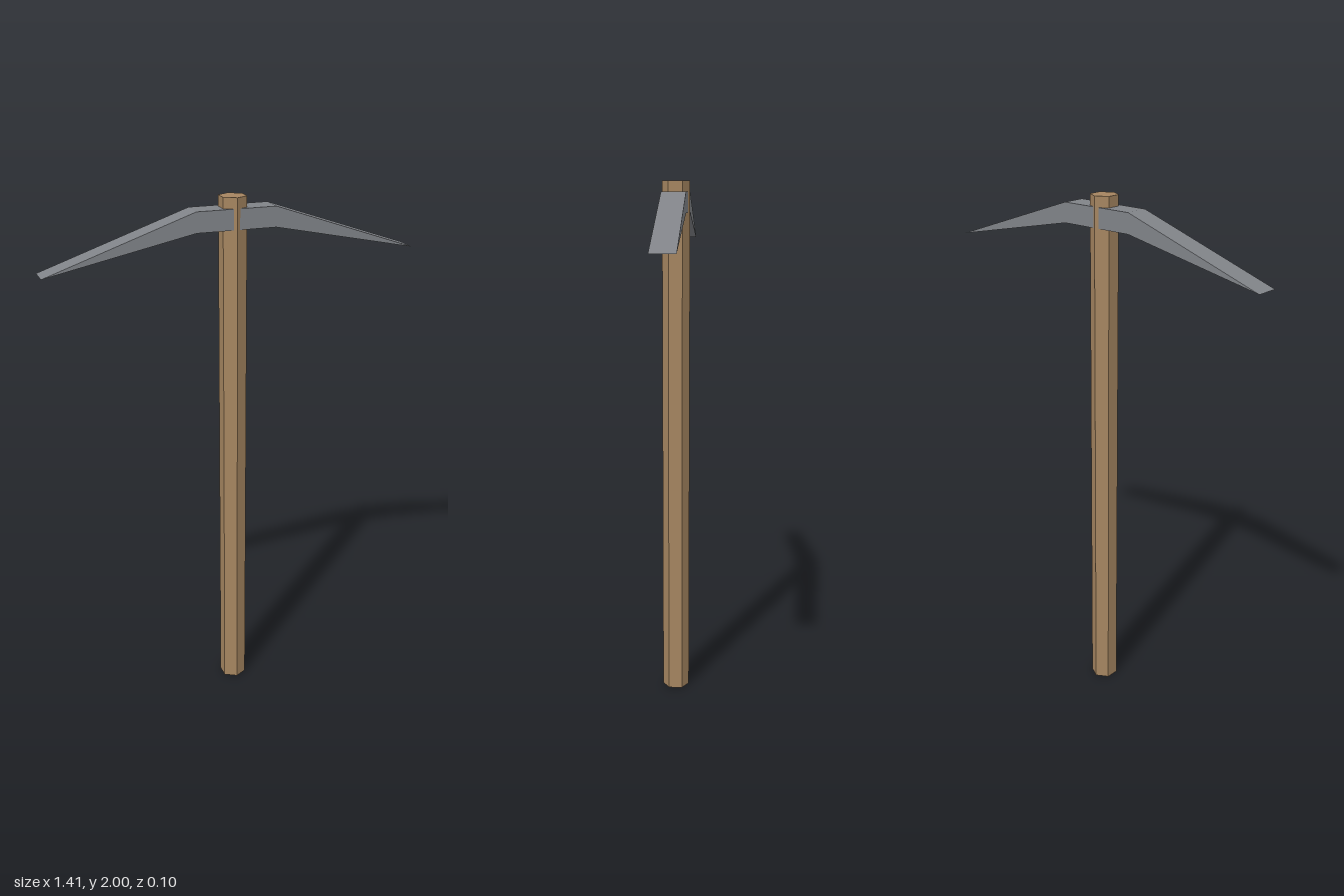
import * as THREE from 'three';

export function createModel() {
  const group = new THREE.Group();
  group.name = 'pickaxe';

  // Hexagonal wooden handle, one corner facing the front
  const handle = new THREE.Mesh(
    new THREE.CylinderGeometry(0.052, 0.052, 2, 6),
    new THREE.MeshStandardMaterial({ color: 0xa58560, flatShading: true })
  );
  handle.name = 'handle';
  handle.position.y = 1;
  group.add(handle);

  // Metal head: flat in the middle, each arm tapering down to a sharp edge
  const outline = [
    [-0.705, 1.77], [-0.15, 1.885], [0.15, 1.885],
    [0.705, 1.77], [0.15, 1.96], [-0.15, 1.96],
  ].map(([x, y]) => new THREE.Vector2(x, y));
  const depth = 0.09;
  const headGeometry = new THREE.ExtrudeGeometry(new THREE.Shape(outline), { depth, bevelEnabled: false });
  headGeometry.translate(0, 0, -depth / 2);
  const head = new THREE.Mesh(
    headGeometry,
    new THREE.MeshStandardMaterial({ color: 0x808388, flatShading: true })
  );
  head.name = 'head';
  group.add(head);

  return group;
}
